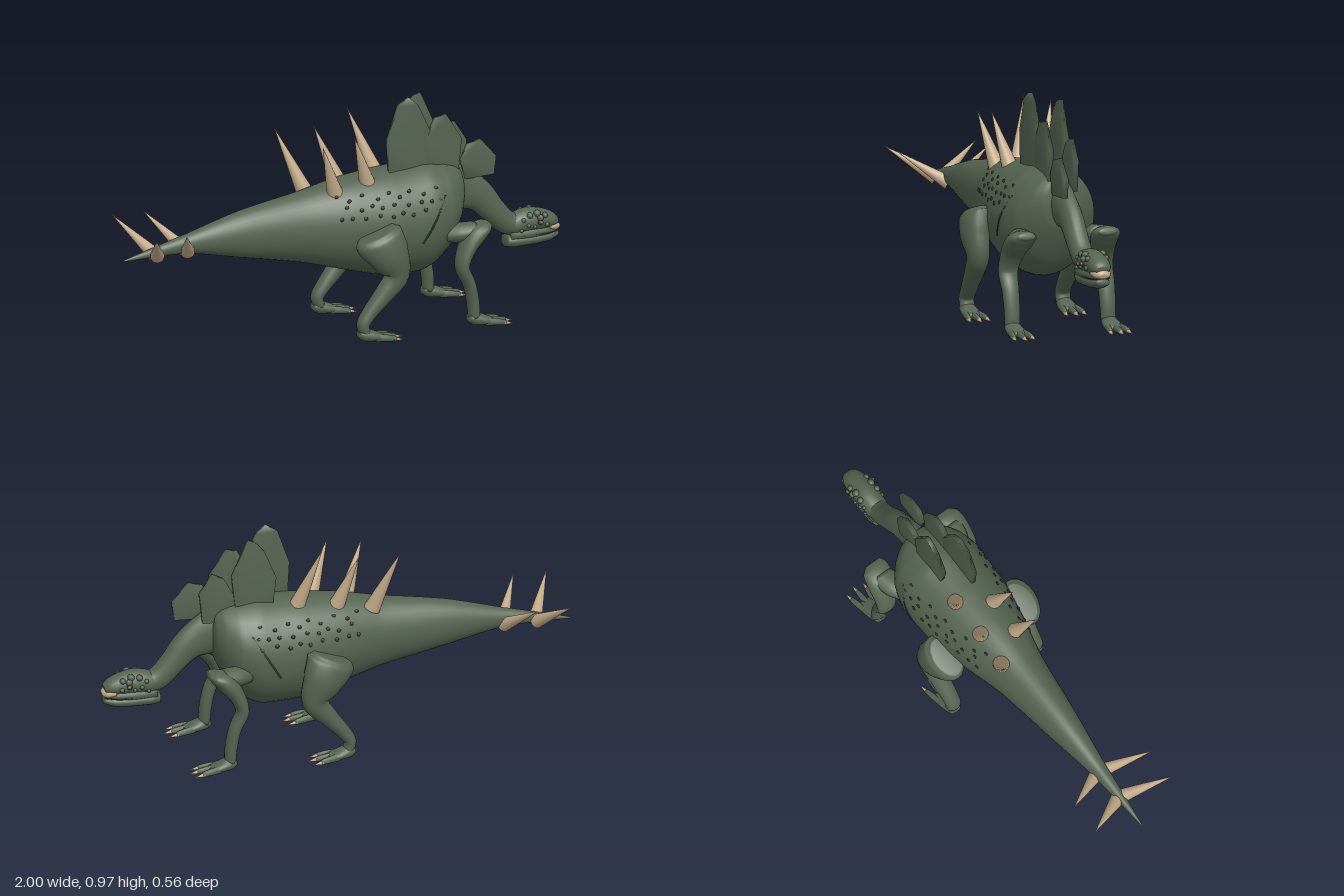
import * as THREE from 'three';
import { mergeVertices } from 'three/addons/utils/BufferGeometryUtils.js';

const mat = (name, color) => {
  const m = new THREE.MeshStandardMaterial({ color });
  m.name = name;
  return m;
};

export function createModel() {
  const hide = mat('hide green', 0x566451);
  const dark = mat('dark scale green', 0x343d31);
  const bone = mat('bone', 0xc2aa88);
  const amber = mat('eye amber', 0x8f7a45);
  const root = new THREE.Group();
  root.name = 'platedDinosaur';

  const add = (name, geo, material, parent = root) => {
    const m = new THREE.Mesh(geo, material);
    m.name = name;
    parent.add(m);
    return m;
  };

  // Smooth skin over elliptical sections [x, y, z, in-plane radius, z radius];
  // sections follow the path unless kept upright
  function loft(stations, sides = 20, steps = 5, upright = false) {
    const path = new THREE.CatmullRomCurve3(stations.map(s => new THREE.Vector3(s[0], s[1], s[2])));
    const radii = new THREE.CatmullRomCurve3(stations.map(s => new THREE.Vector3(s[3], s[4], 0)));
    const rings = (stations.length - 1) * steps;
    const pos = [], idx = [];
    for (let i = 0; i <= rings; i++) {
      const c = path.getPoint(i / rings), r = radii.getPoint(i / rings);
      const t = upright ? new THREE.Vector3(1, 0, 0) : path.getTangent(i / rings);
      const l = Math.hypot(t.x, t.y) || 1;
      for (let j = 0; j < sides; j++) {
        const a = j / sides * Math.PI * 2, u = Math.cos(a) * Math.max(r.x, 0.001);
        pos.push(c.x - t.y / l * u, c.y + t.x / l * u, c.z + Math.sin(a) * Math.max(r.y, 0.001));
      }
    }
    for (let i = 0; i < rings; i++) for (let j = 0; j < sides; j++) {
      const k = (j + 1) % sides, a = i * sides + j, b = i * sides + k;
      idx.push(a, b, a + sides, b, b + sides, a + sides);
    }
    const first = pos.length / 3, lastRing = rings * sides;
    pos.push(...path.getPoint(0).toArray(), ...path.getPoint(1).toArray());
    for (let j = 0; j < sides; j++) {
      const k = (j + 1) % sides;
      idx.push(first, k, j, first + 1, lastRing + j, lastRing + k);
    }
    const g = new THREE.BufferGeometry();
    g.setAttribute('position', new THREE.Float32BufferAttribute(pos, 3));
    g.setIndex(idx);
    g.computeVertexNormals();
    return g;
  }

  // Cone from base point to tip point
  function spike(name, base, tip, r, parent = root) {
    const b = new THREE.Vector3(...base), t = new THREE.Vector3(...tip), d = t.clone().sub(b);
    const m = add(name, new THREE.ConeGeometry(r, d.length(), 14), bone, parent);
    m.position.copy(b).add(t).multiplyScalar(0.5);
    m.quaternion.setFromUnitVectors(new THREE.Vector3(0, 1, 0), d.normalize());
  }

  const ball = new THREE.SphereGeometry(1, 10, 8);
  function bump(name, p, r, material, parent = root, flat = 1) {
    const m = add(name, ball, material, parent);
    m.position.set(...p);
    m.scale.set(r, r, r * flat);
  }

  // Body and tail
  const body = [
    [-1, .435, 0, .003, .003], [-.85, .455, 0, .022, .02], [-.71, .47, 0, .041, .035],
    [-.47, .477, 0, .098, .072], [-.18, .47, 0, .152, .113], [0, .461, 0, .196, .158],
    [.18, .447, 0, .228, .193], [.34, .452, 0, .236, .2], [.44, .48, 0, .2, .178],
    [.5, .52, 0, .145, .13], [.53, .543, 0, .1, .085], [.54, .548, 0, .04, .04],
  ];
  add('bodyAndTail', loft(body, 32, 6, true), hide);

  // Side surface depth of the body at x, y
  function flank(x, y) {
    const i = Math.max(1, body.findIndex(s => s[0] >= x)), a = body[i - 1], b = body[i];
    const k = (x - a[0]) / (b[0] - a[0]), f = n => a[n] + (b[n] - a[n]) * k;
    return f(4) * Math.sqrt(Math.max(0, 1 - ((y - f(1)) / f(3)) ** 2));
  }

  // Neck
  add('neck', loft([
    [.45, .57, 0, .095, .06], [.54, .54, 0, .095, .05], [.63, .495, 0, .069, .047],
    [.70, .42, 0, .054, .047], [.76, .36, 0, .05, .046], [.83, .335, 0, .045, .045],
  ]), hide);

  // Head
  const head = new THREE.Group();
  head.name = 'head';
  root.add(head);
  add('skull', loft([
    [.755, .335, 0, .03, .035], [.79, .345, 0, .047, .048], [.86, .355, 0, .053, .053],
    [.92, .35, 0, .047, .051], [.965, .342, 0, .034, .043], [.99, .334, 0, .018, .028],
  ]), hide, head);
  add('muzzle', loft([
    [.77, .305, 0, .034, .042], [.86, .305, 0, .034, .048], [.94, .307, 0, .03, .044], [.985, .31, 0, .014, .028],
  ]), hide, head);
  add('lowerJaw', loft([
    [.755, .28, 0, .026, .036], [.79, .278, 0, .03, .045], [.88, .278, 0, .029, .047],
    [.95, .281, 0, .025, .043], [.992, .287, 0, .014, .027],
  ]), hide, head);
  add('mouthLine', loft([
    [.82, .3, 0, .003, .046], [.9, .299, 0, .003, .048], [.96, .299, 0, .003, .043], [.99, .3, 0, .003, .028],
  ]), dark, head);
  add('beak', loft([
    [.945, .321, 0, .02, .043], [.965, .32, 0, .022, .042], [.985, .317, 0, .021, .035], [1, .312, 0, .011, .02],
  ]), bone, head);

  // Plates with softened shading, alternating sides of the spine
  const plates = [
    [.046, [[.2, .62], [.19, .8], [.24, .945], [.29, .975], [.33, .94], [.4, .79], [.38, .62]]],
    [-.05, [[.29, .62], [.27, .78], [.32, .9], [.36, .945], [.39, .955], [.46, .8], [.44, .62]]],
    [.047, [[.38, .6], [.36, .77], [.41, .87], [.46, .88], [.53, .77], [.51, .58]]],
    [-.039, [[.45, .6], [.44, .7], [.49, .79], [.54, .815], [.595, .73], [.58, .6]]],
    [.044, [[.55, .588], [.53, .67], [.56, .735], [.62, .75], [.69, .67], [.68, .592]]],
  ];
  for (const [z, pts] of plates) {
    const shape = new THREE.Shape(pts.map(p => new THREE.Vector2(...p)));
    let geo = new THREE.ExtrudeGeometry(shape, { depth: .019, bevelEnabled: false });
    geo.deleteAttribute('normal');
    geo.deleteAttribute('uv');
    geo = mergeVertices(geo);
    geo.computeVertexNormals();
    add('backPlate', geo, hide).position.z = z - .0095;
  }

  // Back spikes
  [
    [[-.135, .6, -.065], [-.24, .87, -.135]], [[.015, .625, -.058], [-.07, .86, -.11]],
    [[.185, .64, -.058], [.09, .915, -.125]], [[-.055, .61, .058], [-.137, .84, .112]],
    [[.095, .63, .058], [.01, .86, .108]],
  ].forEach(([b, t]) => spike('backSpike', b, t, .035));

  for (const s of [1, -1]) {
    const side = s > 0 ? 'Front' : 'Back';

    // Tail spikes
    for (const x of [-.85, -.71]) spike('tailSpike' + side, [x, .44, s * .012], [x - .1, .572, s * .207], .03);

    // Flank scales
    for (let row = 0; row < 3; row++) for (let i = 0; i < 9; i++) {
      const x = -.06 + i * .052 + (row % 2) * .026 + .009 * Math.sin(i * 5 + row * 3);
      const y = .52 + row * .038 + .009 * Math.sin(i * 3 + row);
      if (x < .38) bump('flankScale', [x, y, s * flank(x, y)], .009, dark, root, .5);
    }

    // Shoulder fold
    const fold = [];
    for (let i = 0; i <= 6; i++) {
      const x = .285 + i * .019, y = .385 + i * .031;
      fold.push(new THREE.Vector3(x, y, s * flank(x, y)));
    }
    add('shoulderFold', new THREE.TubeGeometry(new THREE.CatmullRomCurve3(fold), 16, .004, 6), dark);

    // Brow knobs and eyes
    [[.82, .368, .045, .01], [.85, .385, .042, .014], [.885, .388, .038, .016], [.92, .376, .04, .013],
      [.84, .345, .052, .009], [.87, .336, .053, .008], [.925, .34, .05, .01], [.95, .36, .034, .009],
      [.81, .325, .047, .008], [.895, .372, .05, .014]]
      .forEach(([x, y, z, r]) => bump('browKnob', [x, y, s * z], r, hide, head));
    bump('eye', [.893, .353, s * .052], .012, dark, head);
    bump('eyeGlint', [.896, .354, s * .059], .007, amber, head);

    // Legs: one shared foot with three clawed toes
    const foot = (x, parent) => {
      const z = s * .214;
      add('foot', loft([
        [x - .022, .045, z, .016, .024], [x + .005, .038, z, .028, .034],
        [x + .05, .027, z, .021, .041], [x + .09, .017, z, .012, .037],
      ], 16), hide, parent);
      for (const d of [-1, 0, 1]) {
        const reach = d ? 0 : .014;
        add('toe', loft([
          [x + .045, .024, z + d * .024, .017, .013], [x + .09, .02, z + d * .033, .015, .013],
          [x + .13 + reach, .014, z + d * .039, .011, .01],
        ], 10, 4), hide, parent);
        spike('claw', [x + .122 + reach, .014, z + d * .039], [x + .167 + reach, .006, z + d * .043], .01, parent);
      }
    };

    const hind = new THREE.Group();
    hind.name = 'hindLeg' + side;
    root.add(hind);
    add('hindLimb', loft([
      [.068, .46, s * .195, .085, .052], [.078, .435, s * .2, .106, .07], [.114, .37, s * .221, .088, .06],
      [.148, .28, s * .222, .056, .046], [.09, .2, s * .217, .04, .041], [.025, .125, s * .213, .03, .035],
      [-.003, .08, s * .213, .026, .033], [.008, .04, s * .213, .022, .032],
    ], 20), hide, hind);
    foot(0, hind);

    const fore = new THREE.Group();
    fore.name = 'foreLeg' + side;
    root.add(fore);
    add('foreLimb', loft([
      [.592, .428, s * .178, .012, .035], [.567, .42, s * .185, .028, .058], [.525, .395, s * .19, .042, .062],
      [.478, .335, s * .201, .034, .052], [.455, .265, s * .21, .028, .043], [.486, .19, s * .212, .026, .037],
      [.503, .11, s * .212, .026, .034], [.508, .04, s * .213, .024, .032],
    ], 20), hide, fore);
    // Shoulder joint into the body
    add('shoulder', loft([
      [.40, .395, s * .14, .03, .04], [.46, .4, s * .16, .04, .055], [.53, .41, s * .18, .035, .05],
    ], 16), hide, fore);
    foot(.505, fore);
  }
  return root;
}
